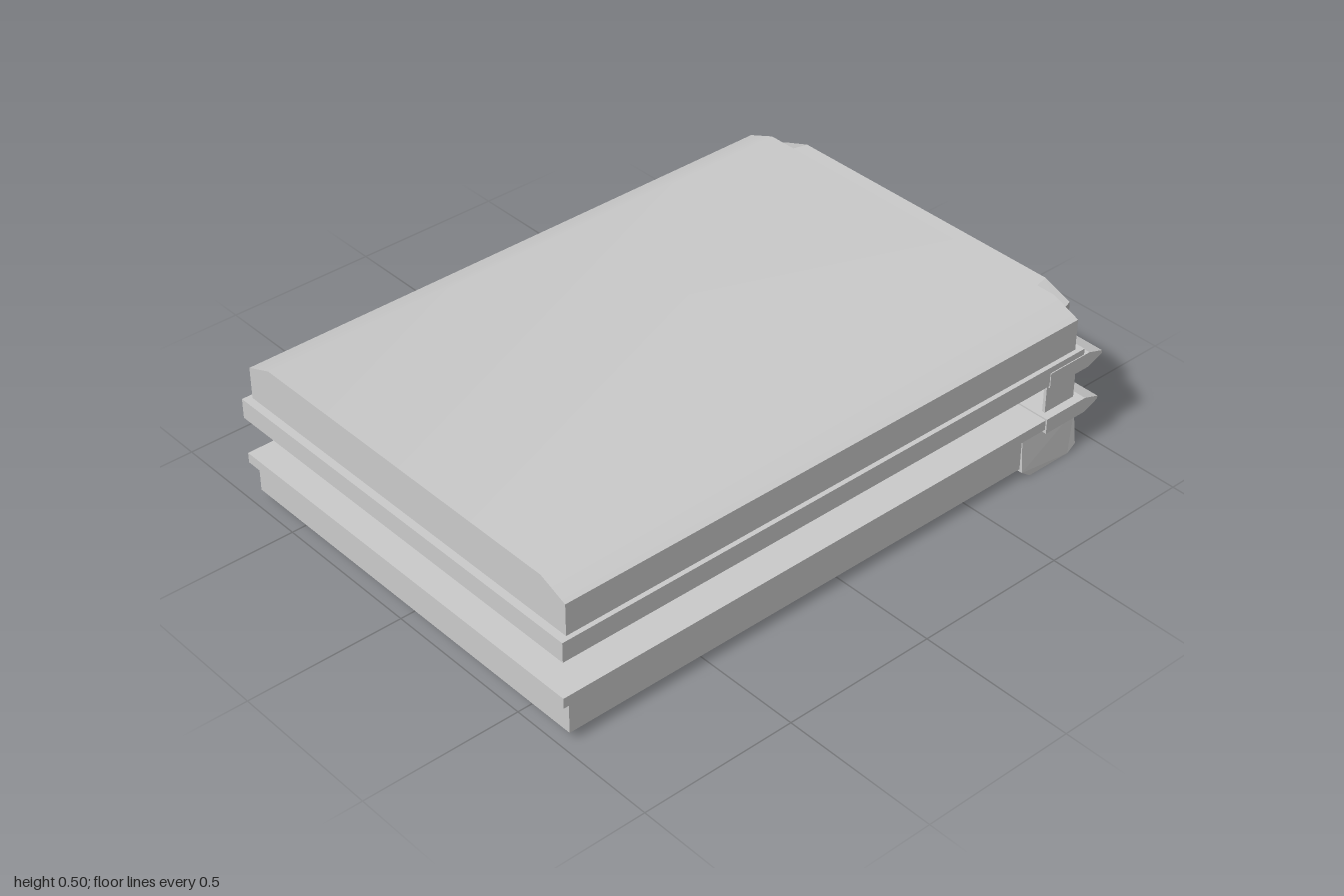
import * as THREE from 'three';
import { toCreasedNormals } from 'three/addons/utils/BufferGeometryUtils.js';

const material = new THREE.MeshStandardMaterial({ color: 0xcccccc });

function extrude(points, depth) {
  const shape = new THREE.Shape(points.map(([a, b]) => new THREE.Vector2(a, b)));
  return new THREE.ExtrudeGeometry(shape, { depth, bevelEnabled: false });
}

// side profile in x/y, extruded across the width (z)
function acrossWidth(points, halfWidth) {
  return extrude(points, halfWidth * 2).translate(0, 0, -halfWidth);
}

// end profile in z/y, extruded along the length from x0 to x1
function alongLength(points, x0, x1) {
  return extrude(points, x1 - x0).rotateY(Math.PI / 2).translate(x0, 0, 0);
}

// block with sloped upper shoulders, symmetric in z
function shoulderProfile(half, y0, yShoulder, halfTop, y1) {
  return [[-half, y0], [half, y0], [half, yShoulder], [halfTop, y1], [-halfTop, y1], [-half, yShoulder]];
}

function box(x0, x1, y0, y1, z0, z1) {
  return new THREE.BoxGeometry(x1 - x0, y1 - y0, z1 - z0)
    .translate((x0 + x1) / 2, (y0 + y1) / 2, (z0 + z1) / 2);
}

export function createModel() {
  const model = new THREE.Group();
  const add = (name, geometry) => {
    const mesh = new THREE.Mesh(geometry, material);
    mesh.name = name;
    model.add(mesh);
  };

  // lower tray and its rim
  add('lowerTray', box(-0.975, 0.8, 0.038, 0.142, -0.68, 0.68));
  add('lowerRim', box(-1, 0.9, 0.142, 0.175, -0.69, 0.69));

  // chamfered foot under the front edge, slightly wider at the bottom
  const foot = acrossWidth([[0.7, 0.03], [0.735, 0.004], [0.895, 0.004], [0.925, 0.025],
    [0.917, 0.14], [0.7, 0.14]], 0.69);
  const p = foot.attributes.position;
  for (let i = 0; i < p.count; i++) {
    if (p.getY(i) > 0.1) p.setZ(i, Math.sign(p.getZ(i)) * 0.682);
  }
  foot.computeVertexNormals();
  add('frontFoot', foot);

  // pointed lips on both halves
  const lip = [[0.785, 0], [0.945, 0], [1, 0.022], [1, 0.032], [0.945, 0.05], [0.785, 0.05]];
  add('lowerLip', acrossWidth(lip, 0.695).translate(0, 0.13, 0));
  add('upperLip', acrossWidth(lip, 0.695).translate(0, 0.29, 0));

  // thin plates joining the halves
  for (const side of [-1, 1]) {
    add(side > 0 ? 'frontPlate' : 'backPlate',
      box(0.805, 0.925, 0.17, 0.3, side * 0.662 - 0.005, side * 0.662 + 0.005));
  }

  // upper rim and cover with a softly shaded sloped roof
  add('upperRim', box(-1, 0.925, 0.296, 0.36, -0.692, 0.692));
  add('cover', toCreasedNormals(
    alongLength(shoulderProfile(0.677, 0.355, 0.462, 0.583, 0.499), -0.975, 0.902), 0.6));

  // nose on the end of the cover, narrowing outwards
  const nose = alongLength(shoulderProfile(0.61, 0.38, 0.45, 0.51, 0.485), 0.895, 0.965);
  const n = nose.attributes.position;
  for (let i = 0; i < n.count; i++) {
    if (n.getX(i) > 0.93) n.setZ(i, n.getZ(i) * 0.967);
  }
  nose.computeVertexNormals();
  add('coverNose', nose);

  return model;
}
